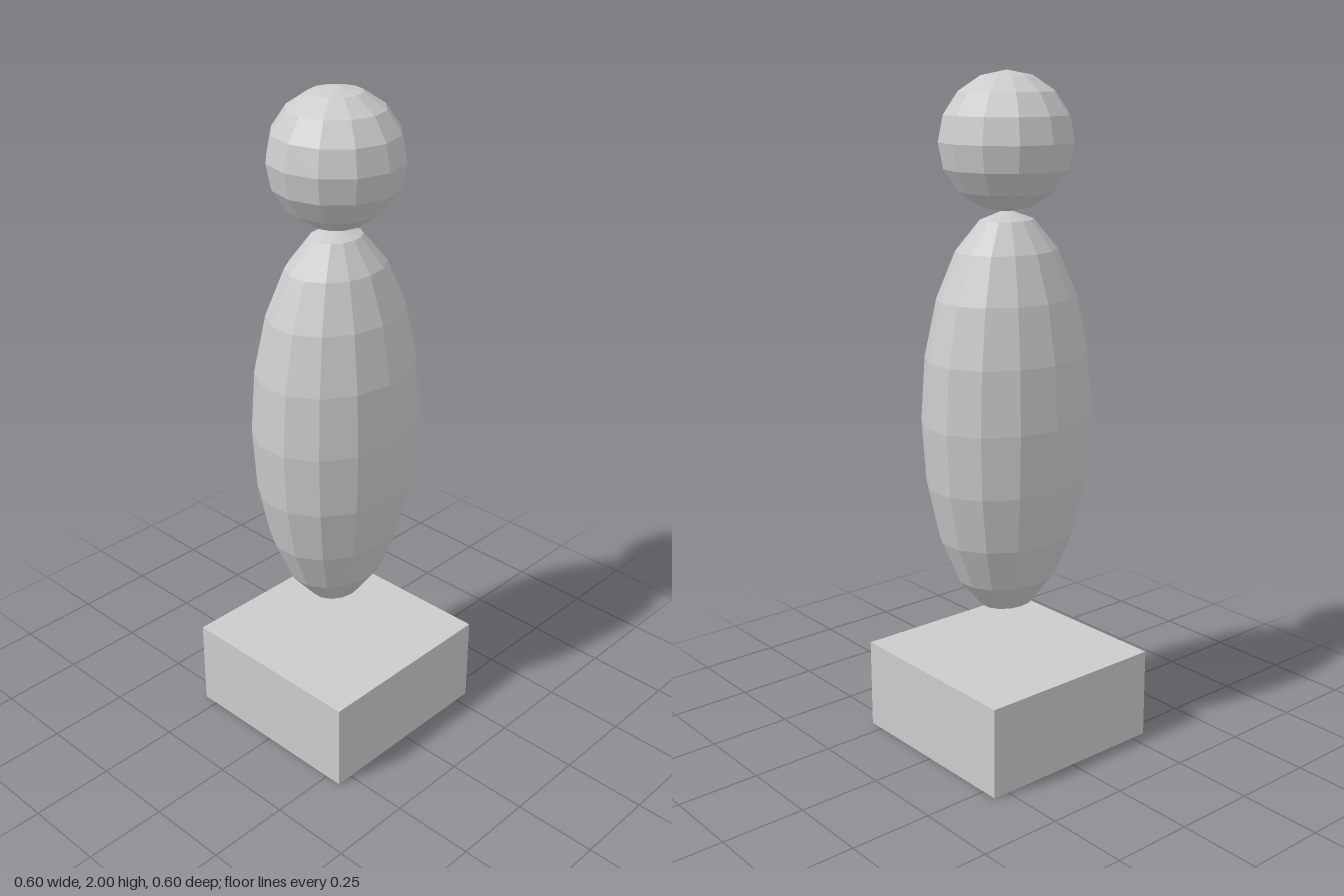
import * as THREE from 'three';

const material = new THREE.MeshStandardMaterial({ color: 0xcccccc, flatShading: true });

function addPart(group, name, geometry, y) {
  const mesh = new THREE.Mesh(geometry, material);
  mesh.name = name;
  mesh.position.y = y;
  group.add(mesh);
}

export function createModel() {
  const group = new THREE.Group();
  group.name = 'figure';

  // Square plinth
  addPart(group, 'base', new THREE.BoxGeometry(0.6, 0.275, 0.6), 0.1375);

  // Faceted ellipsoid torso floating above the plinth, a corner facing front
  const body = new THREE.SphereGeometry(1, 14, 10).rotateY(Math.PI / 2).scale(0.27, 0.608, 0.22);
  addPart(group, 'body', body, 1.01);

  // Faceted ball head resting on the torso
  addPart(group, 'head', new THREE.SphereGeometry(0.195, 12, 8), 1.805);

  return group;
}
